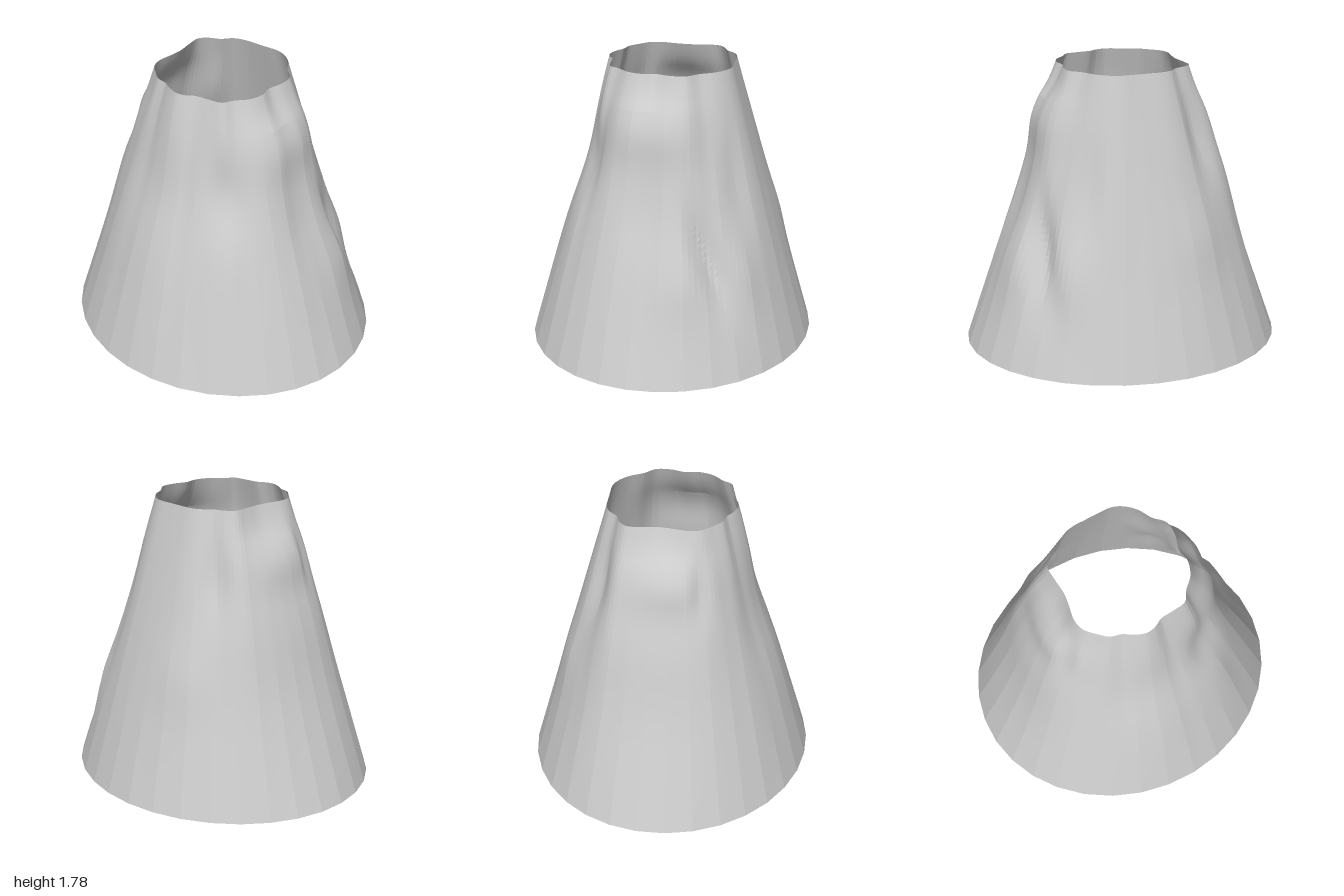
import * as THREE from 'three';
import { toCreasedNormals } from 'three/addons/utils/BufferGeometryUtils.js';

const HEIGHT = 1.78, SIDES = 32, SPLIT = 4, ROWS = 44;

// Wavy rim of the crater, from +x round past +z, as [x, z]
const RIM = [
  [0.37, 0], [0.39, 0.08], [0.37, 0.17], [0.31, 0.25], [0.28, 0.31], [0.2, 0.335], [0.11, 0.355], [0.06, 0.39],
  [0, 0.405], [-0.08, 0.385], [-0.13, 0.36], [-0.2, 0.35], [-0.26, 0.31], [-0.33, 0.25], [-0.355, 0.18], [-0.35, 0.08],
  [-0.35, 0], [-0.37, -0.1], [-0.38, -0.19], [-0.34, -0.24], [-0.27, -0.28], [-0.22, -0.34], [-0.15, -0.37], [-0.08, -0.38],
  [0, -0.39], [0.1, -0.4], [0.17, -0.38], [0.24, -0.33], [0.3, -0.25], [0.37, -0.19], [0.385, -0.1],
];

// Bulges (+) and hollows (-): angle, height, angular width, height spread, amount, lean
const BUMPS = [
  [0, 1.48, 30, 0.2, 0.06, 0],
  [0, 0.95, 14, 0.2, -0.015, 0],
  [180, 1.15, 38, 0.35, 0.04, 0],
  [172, 1.48, 28, 0.16, 0.055, 0],
  [148, 1.45, 7, 0.18, -0.03, 0],
  [48, 1.2, 11, 0.24, -0.055, 0],
  [90, 1.15, 28, 0.3, -0.03, 0],
  [-36, 0.72, 8, 0.3, -0.06, 25],
  [-53, 0.6, 9, 0.22, 0.02, 10],
  [-22, 0.6, 14, 0.2, 0.02, 0],
  [-58, 1.1, 8, 0.3, -0.025, 0],
  [-138, 1.35, 9, 0.22, -0.03, 0],
  [-120, 0.8, 16, 0.2, 0.015, 0],
];

function bumpAt(deg, y) {
  let sum = 0;
  for (const [a, h, wa, wh, amount, lean] of BUMPS) {
    const da = ((deg - a - lean * (y - h) + 540) % 360 + 360) % 360 - 180;
    sum += amount * Math.exp(-((da / wa) ** 2) - ((y - h) / wh) ** 2);
  }
  // Keep the base and the rim where they are
  return sum * Math.min(1, y / 0.3) * Math.min(1, (HEIGHT - y) / 0.2);
}

function createSlopeGeometry() {
  const rim = new THREE.CatmullRomCurve3(RIM.map(([x, z]) => new THREE.Vector3(x, HEIGHT, z)), true);
  // Sample the rim densely and look it up by angle
  const samples = rim.getPoints(720).map(p => ({ p, a: Math.atan2(p.z, p.x) }));
  const rimAt = angle => {
    let best = samples[0], gap = Infinity;
    for (const s of samples) {
      const d = 1 - Math.cos(s.a - angle);
      if (d < gap) { gap = d; best = s; }
    }
    return best.p;
  };
  const corner = i => {
    const t = i / SIDES * Math.PI * 2;
    return new THREE.Vector3(Math.cos(t), 0, 0.89 * Math.sin(t));
  };

  const count = SIDES * SPLIT, positions = [], indices = [];
  for (let i = 0; i < count; i++) {
    const side = Math.floor(i / SPLIT);
    const foot = corner(side).lerp(corner(side + 1), (i % SPLIT) / SPLIT);
    const angle = i / count * Math.PI * 2;
    const top = rimAt(angle);
    for (let j = 0; j <= ROWS; j++) {
      const p = foot.clone().lerp(top, j / ROWS);
      const push = bumpAt(angle * 180 / Math.PI, p.y);
      positions.push(p.x + push * Math.cos(angle), p.y, p.z + push * Math.sin(angle));
    }
  }
  const n = ROWS + 1;
  for (let i = 0; i < count; i++) {
    for (let j = 0; j < ROWS; j++) {
      const a = i * n + j, b = ((i + 1) % count) * n + j;
      indices.push(a, a + 1, b, b, a + 1, b + 1);
    }
  }
  const geometry = new THREE.BufferGeometry();
  geometry.setAttribute('position', new THREE.Float32BufferAttribute(positions, 3));
  geometry.setIndex(indices);
  return toCreasedNormals(geometry, THREE.MathUtils.degToRad(8));
}

export function createModel() {
  const group = new THREE.Group();
  group.name = 'volcano';
  // Open, thin shell of the cone
  const material = new THREE.MeshStandardMaterial({ color: 0xcccccc, side: THREE.DoubleSide });
  const slope = new THREE.Mesh(createSlopeGeometry(), material);
  slope.name = 'volcanoSlope';
  group.add(slope);
  return group;
}
